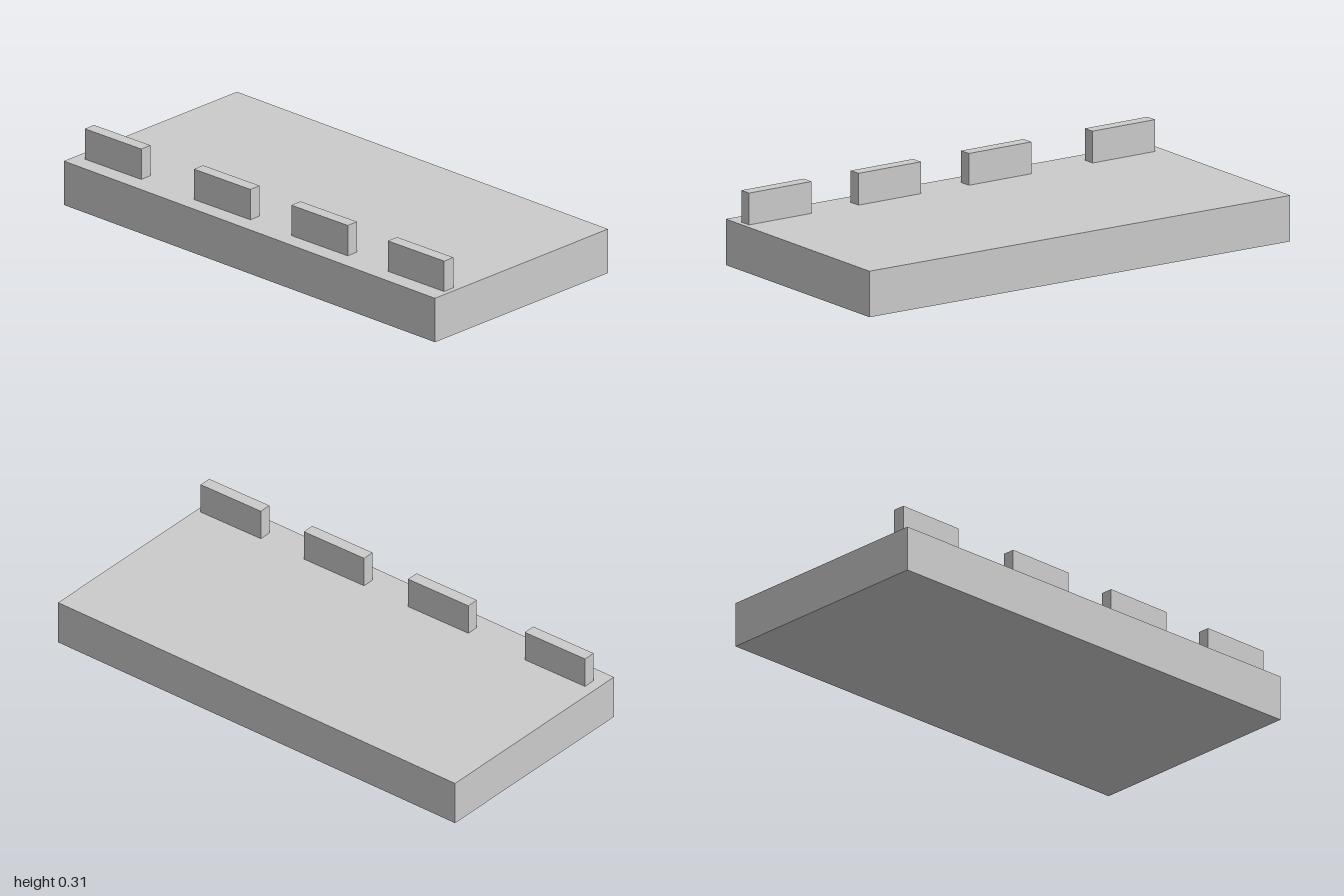
import * as THREE from 'three';

export function createModel() {
  const model = new THREE.Group();
  const material = new THREE.MeshStandardMaterial({ color: 0xcccccc, flatShading: true });
  const slabHeight = 0.185;

  function addBox(name, size, position) {
    const mesh = new THREE.Mesh(new THREE.BoxGeometry(...size), material);
    mesh.name = name;
    mesh.position.set(...position);
    model.add(mesh);
    return mesh;
  }

  // Flat base slab
  addBox('baseSlab', [0.97, slabHeight, 2], [0, slabHeight / 2, 0]);

  // Row of upright blocks along the right edge, each turned very slightly
  const blockHeight = 0.128;
  [0.828, 0.308, -0.217, -0.805].forEach((z, i) => {
    const block = addBox(`edgeBlock${i + 1}`, [0.052, blockHeight, 0.3],
      [-0.387, slabHeight + blockHeight / 2, z]);
    block.rotation.y = 0.014;
  });

  return model;
}
